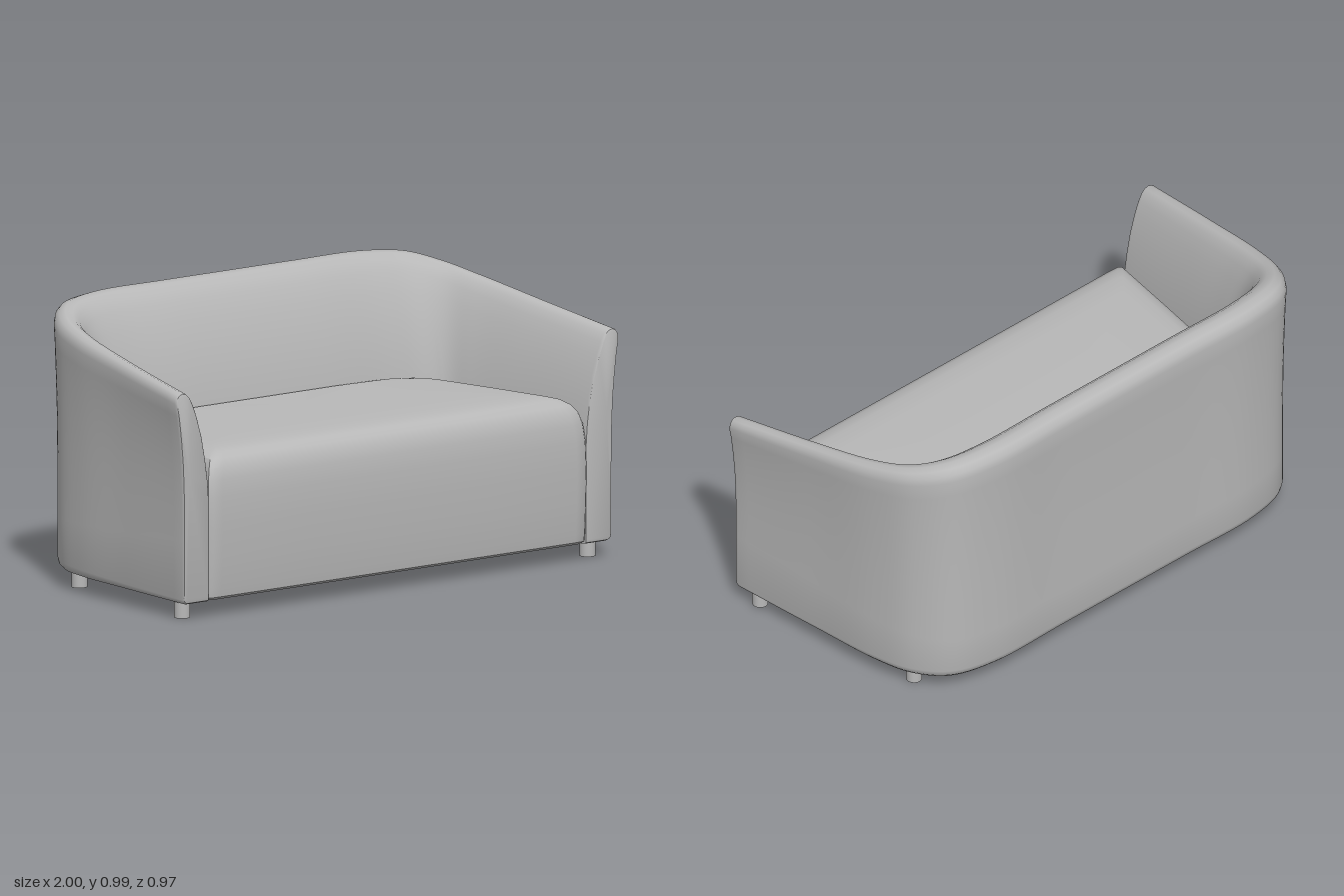
import * as THREE from 'three';
import { toCreasedNormals } from 'three/addons/utils/BufferGeometryUtils.js';

const V = (x, y, z) => new THREE.Vector3(x, y, z);

// Skin a series of closed rings (counter-clockwise about the travel direction) and cap both ends.
function loft(rings) {
  const n = rings[0].length, last = rings.length - 1, pos = [], idx = [];
  rings.forEach(r => r.forEach(p => pos.push(p.x, p.y, p.z)));
  for (let i = 0; i < last; i++) {
    for (let j = 0; j < n; j++) {
      const k = (j + 1) % n;
      const a = i * n + j, b = i * n + k, c = (i + 1) * n + k, d = (i + 1) * n + j;
      idx.push(a, b, c, a, c, d);
    }
  }
  [0, last].forEach(i => {
    const c = centre(rings[i]), m = pos.length / 3;
    pos.push(c.x, c.y, c.z);
    for (let j = 0; j < n; j++) {
      const a = i * n + j, b = i * n + (j + 1) % n;
      idx.push(m, ...(i === 0 ? [b, a] : [a, b]));
    }
  });
  const g = new THREE.BufferGeometry();
  g.setAttribute('position', new THREE.Float32BufferAttribute(pos, 3));
  g.setIndex(idx);
  return toCreasedNormals(g, 0.75);
}

function centre(ring) {
  return ring.reduce((s, p) => s.add(p), V(0, 0, 0)).divideScalar(ring.length);
}

const BASE = 0.057;

// Wrap-around arms and backrest: a flared section swept along a U-shaped plan.
function shellGeometry() {
  // outer rim x, top height, outer rim z, inner foot x, outward flare, inner foot z
  const half = [
    [0.998, 0.803, 0.462, 0.85, 0.034, 0.462],
    [0.962, 0.86, 0.13, 0.803, 0.028, 0.13],
    [0.922, 0.912, -0.17, 0.768, 0.02, -0.06],
    [0.87, 0.947, -0.33, 0.742, 0.016, -0.145],
    [0.775, 0.978, -0.435, 0.69, 0.013, -0.19],
    [0.6, 0.992, -0.482, 0.58, 0.013, -0.21],
    [0.3, 0.994, -0.483, 0.3, 0.013, -0.212],
  ];
  const mirrored = half.slice().reverse().map(s => [-s[0], s[1], s[2], -s[3], s[4], s[5]]);
  const stations = [...half, [0, 0.994, -0.483, 0, 0.013, -0.212], ...mirrored];
  const rim = new THREE.CatmullRomCurve3(stations.map(s => V(s[0], s[1], s[2])));
  const foot = new THREE.CatmullRomCurve3(stations.map(s => V(s[3], s[4], s[5])));

  // inner face and lip: fraction across, fraction of height above y = 0.4
  const inside = [[1, 0], [0.96, 0.2], [0.88, 0.4], [0.77, 0.6], [0.62, 0.78], [0.5, 0.89],
    [0.4, 0.955], [0.3, 0.99], [0.18, 1], [0.08, 0.985], [0.02, 0.955], [0, 0.91]];
  // outer face: share of the flare, height fraction
  const outside = [[0.25, 0.8], [0.55, 0.6], [0.78, 0.4], [0.9, 0.2], [0.97, 0], [1, -0.3]];

  const section = t => {
    const o = rim.getPoint(t), f = foot.getPoint(t);
    const flare = f.y, r = 0.05 - flare, top = o.y;
    const across = V(f.x - o.x, 0, f.z - o.z), width = across.length();
    const at = (d, y) => V(o.x, y, o.z).addScaledVector(across, d / width);
    const y = h => 0.4 + h * (top - 0.4);
    return [
      at(flare + r, BASE), at(width, BASE),
      ...inside.map(([d, h]) => at(d * width, y(h))),
      ...outside.map(([d, h]) => at(d * flare, y(h))),
      at(flare, BASE + r), at(flare + r * 0.13, BASE + r * 0.5), at(flare + r * 0.5, BASE + r * 0.13),
    ];
  };
  const rings = Array.from({ length: 97 }, (_, i) => section(i / 96));

  // softened front ends of the arms
  const end = (ring, scale, z) => {
    const c = centre(ring);
    return ring.map(p => V(c.x + (p.x - c.x) * scale, c.y + (p.y - c.y) * (1 + scale) / 2, z));
  };
  const [a, b] = [rings[0], rings[96]];
  return loft([end(a, 0.93, 0.474), end(a, 0.98, 0.471), ...rings, end(b, 0.98, 0.471), end(b, 0.93, 0.474)]);
}

// Seat block: tapered plan with round back corners and a soft top edge.
function seatGeometry() {
  const plan = [[0.4, 0.476], [0.8, 0.476], [0.84, 0.474], [0.853, 0.462], [0.815, 0.2], [0.785, 0],
    [0.768, -0.1], [0.75, -0.155], [0.715, -0.195], [0.66, -0.218], [0.58, -0.225], [0.3, -0.225]];
  const ring = ([y, side, front]) => {
    const right = plan.map(([x, z]) => V(
      x * (1 - side / 0.85), y, z - front * THREE.MathUtils.smoothstep(z, -0.2, 0.47)));
    const left = right.slice().reverse().map(p => V(-p.x, y, p.z));
    return [...right, ...left];
  };
  // height, side inset, front inset
  return loft([
    [BASE + 0.001, 0.01, 0.015], [0.068, 0, 0.002], [0.1, 0, -0.002], [0.2, 0, -0.007], [0.32, 0, -0.01],
    [0.42, 0.002, -0.007], [0.48, 0.008, 0], [0.52, 0.02, 0.011], [0.548, 0.04, 0.03],
    [0.565, 0.066, 0.058], [0.574, 0.1, 0.1], [0.578, 0.16, 0.17], [0.58, 0.4, 0.32],
  ].map(ring));
}

export function createModel() {
  const upholstery = new THREE.MeshStandardMaterial({ color: 0xb8b8b8 });
  upholstery.name = 'grey upholstery';
  const group = new THREE.Group();
  group.name = 'sofa';
  const add = (name, geometry, x = 0, y = 0, z = 0) => {
    const mesh = new THREE.Mesh(geometry, upholstery);
    mesh.name = name;
    mesh.position.set(x, y, z);
    group.add(mesh);
  };

  add('armsAndBackrest', shellGeometry());
  add('seat', seatGeometry());

  // Four short round legs
  const leg = new THREE.CylinderGeometry(0.028, 0.028, 0.07, 24);
  for (const side of [1, -1]) {
    const name = side > 0 ? 'left' : 'right';
    add(name + 'FrontLeg', leg, side * 0.915, 0.035, 0.403);
    add(name + 'BackLeg', leg, side * 0.812, 0.035, -0.271);
  }
  return group;
}
